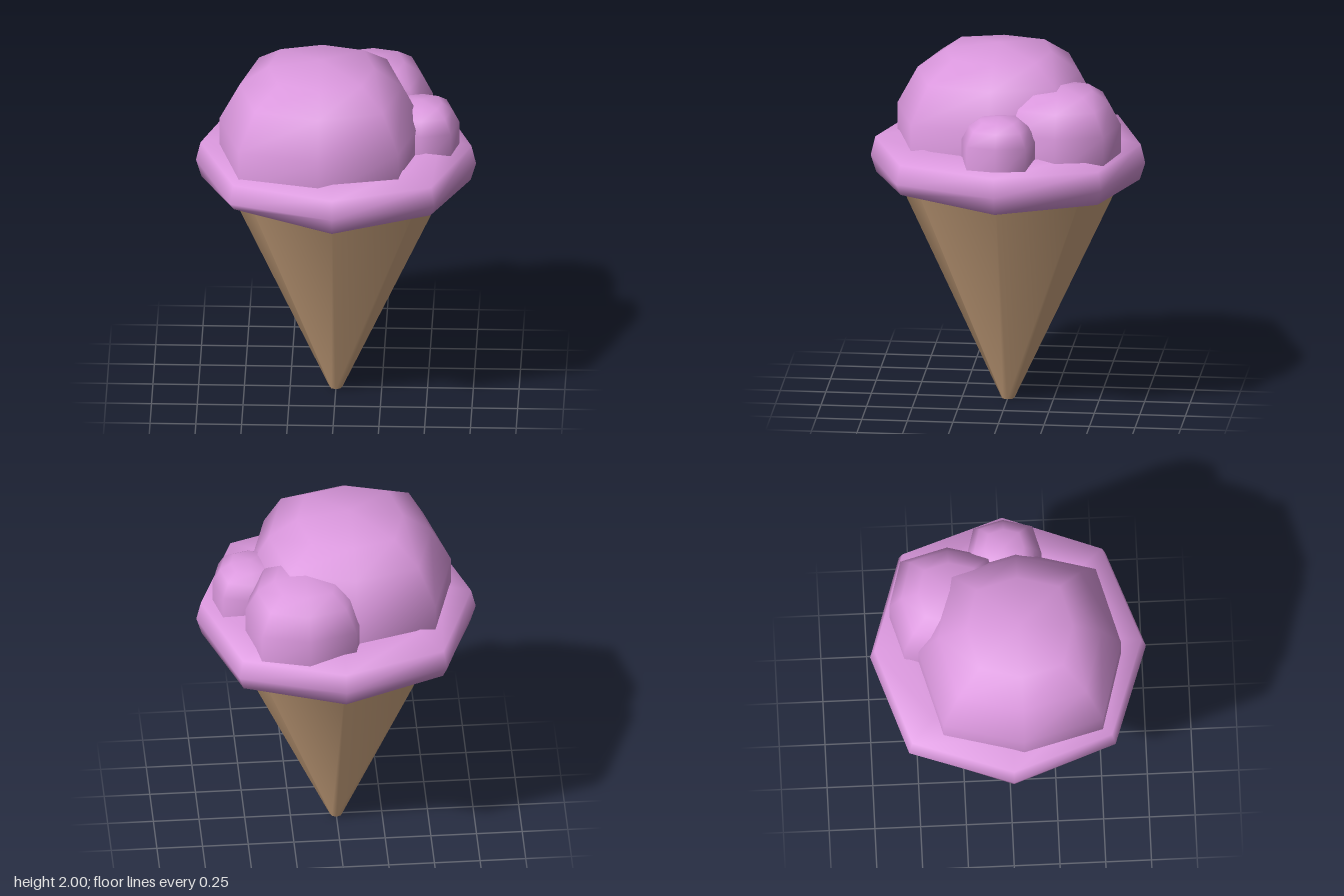
import * as THREE from 'three';
import { mergeVertices } from 'three/addons/utils/BufferGeometryUtils.js';

const SIDES = 8;

// Smooth eight-sided skin; ring(j, i) returns [radius, y] for ring j, corner i (0 faces +z, 2 faces +x)
function loft(rings, ring) {
  const pos = [], idx = [];
  for (let j = 0; j < rings; j++) {
    for (let i = 0; i < SIDES; i++) {
      const a = (i / SIDES) * Math.PI * 2;
      const [r, y] = ring(j, i);
      pos.push(Math.sin(a) * r, y, Math.cos(a) * r);
      if (j === rings - 1) continue;
      const p = j * SIDES + i, q = j * SIDES + (i + 1) % SIDES;
      idx.push(p, q, q + SIDES, p, q + SIDES, p + SIDES);
    }
  }
  let geo = new THREE.BufferGeometry();
  geo.setAttribute('position', new THREE.Float32BufferAttribute(pos, 3));
  geo.setIndex(idx);
  geo = mergeVertices(geo);
  geo.computeVertexNormals();
  return geo;
}

export function createModel() {
  const group = new THREE.Group();
  const cream = new THREE.MeshStandardMaterial({ color: 0xdb98de });
  const wafer = new THREE.MeshStandardMaterial({ color: 0xd4ab84, side: THREE.DoubleSide });

  const add = (name, geo, mat, x = 0, y = 0, z = 0) => {
    const mesh = new THREE.Mesh(geo, mat);
    mesh.name = name;
    mesh.position.set(x, y, z);
    group.add(mesh);
  };

  // Wafer cone with a small blunt tip
  const cone = new THREE.CylinderGeometry(0.67, 0.035, 1.37, SIDES, 1);
  add('cone', cone, wafer, 0, 0.685, 0);

  // Melted rim: uneven octagon whose underside lifts at the diagonal corners
  const rimProfile = [
    [0.45, 1.3], [0.6, 1.22], [0.735, 1.26], [0.765, 1.36],
    [0.74, 1.465], [0.57, 1.51], [0.42, 1.48], [0, 1.48],
  ];
  const spread = [0.985, 1.025, 1, 1.055, 0.985, 1.045, 1, 1.04];
  const lift = [0.01, 0.06, 0, 0.03, 0.01, 0.06, 0, 0.1];
  add('rim', loft(rimProfile.length, (j, i) => {
    const [r, y] = rimProfile[j];
    const k = j === 1 ? 1 : j === 2 ? 0.6 : 0;
    return [r * spread[i], y + lift[i] * k];
  }), cream);

  // Scoops: squarish domes with straight lower walls, origin at the top of the wall
  const dome = [[0.555, 0], [0.445, 0.205], [0.29, 0.315], [0, 0.36]];
  const scoop = (name, size, x, y, z) => {
    const profile = [[0.555 * size, 1.42 - y], ...dome.map(([r, h]) => [r * size, h * size])];
    const geo = loft(profile.length, (j, i) => {
      const [r, h] = profile[j];
      return [r * (i % 2 ? 1.11 : 1), h];
    });
    add(name, geo, cream, x, y, z);
  };
  scoop('largeScoop', 1, -0.08, 1.64, 0.06);
  scoop('mediumScoop', 0.595, 0.19, 1.632, -0.31);
  scoop('smallScoop', 0.37, 0.47, 1.608, 0);

  return group;
}
